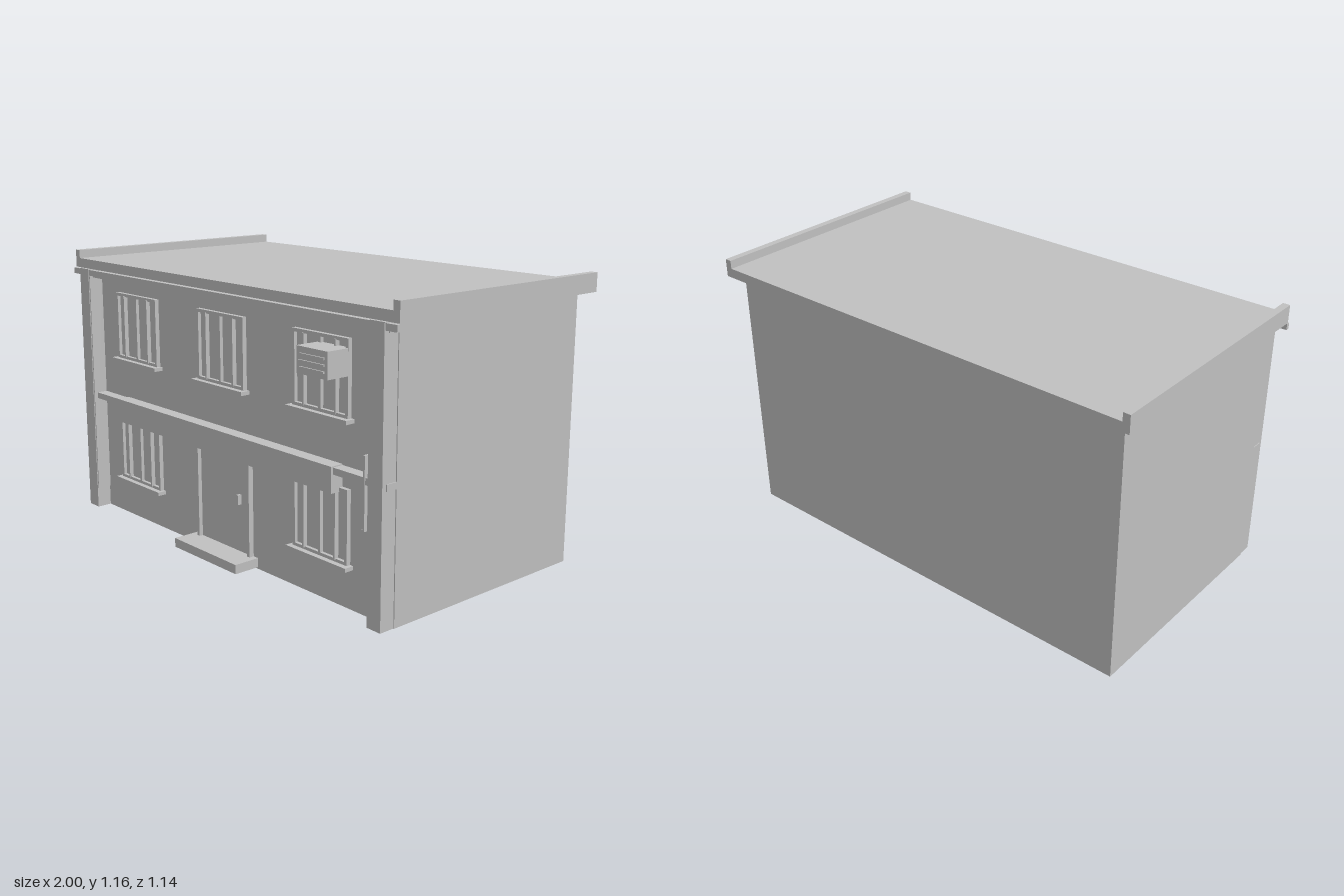
import * as THREE from 'three';

export function createModel() {
  const model = new THREE.Group();
  model.name = 'townhouse';
  const plaster = new THREE.MeshStandardMaterial({ color: 0xc0c0c0 });
  plaster.name = 'grey plaster';
  const WALL = 0.45; // front wall plane

  // Box given by its min and max corners
  function box(name, x0, x1, y0, y1, z0, z1, parent = model) {
    const mesh = new THREE.Mesh(new THREE.BoxGeometry(x1 - x0, y1 - y0, z1 - z0), plaster);
    mesh.position.set((x0 + x1) / 2, (y0 + y1) / 2, (z0 + z1) / 2);
    mesh.name = name;
    parent.add(mesh);
    return mesh;
  }

  // Walls and roof
  box('walls', -0.95, 0.95, 0, 1.09, -0.52, WALL);
  box('roofSlab', -1, 1, 1.09, 1.13, -0.57, 0.5);
  for (const s of [-1, 1]) {
    const side = s < 0 ? 'right' : 'left';
    const a = s * 0.97, b = s;
    box(side + 'Parapet', Math.min(a, b), Math.max(a, b), 1.13, 1.165, -0.57, 0.5);
    // Corner pilaster with a thin strip on its inner edge
    const p = s * 0.878, q = s * 0.946;
    box(side + 'Pilaster', Math.min(p, q), Math.max(p, q), 0, 1.09, WALL, 0.515);
    box(side + 'PilasterStrip', s * 0.876 - 0.003, s * 0.876 + 0.003, 0.09, 1.08, WALL, 0.512);
  }
  box('gutter', -1, 1, 1.062, 1.087, 0.495, 0.512);
  box('cornice', -0.95, 0.95, 1.053, 1.08, WALL, 0.495);
  box('floorLedge', -0.95, 0.95, 0.51, 0.536, WALL, 0.497);
  box('signBoard', -0.69, 0.683, 0.44, 0.54, WALL, 0.506);

  // Barred window, origin at the centre of the sill's underside
  function addWindow(name, x, y) {
    const g = new THREE.Group();
    g.name = name;
    g.position.set(x, y, WALL);
    const w = 0.148, t = 0.013, h = 0.3;
    box('sill', -0.163, 0.163, 0, 0.015, 0, 0.04, g);
    box('frameSideRight', -w, -w + t, 0.015, h, 0, 0.018, g);
    box('frameSideLeft', w - t, w, 0.015, h, 0, 0.018, g);
    box('frameTop', -w + t, w - t, h - t, h, 0, 0.018, g);
    box('frameBottom', -w + t, w - t, 0.015, 0.027, 0, 0.018, g);
    box('mullion', -0.006, 0.006, 0.027, h - t, 0, 0.018, g);
    box('pane', -w + t, w - t, 0.027, h - t, 0, 0.004, g);
    for (const bx of [-0.085, 0.085]) box('bar', bx - 0.004, bx + 0.004, 0.022, h - 0.01, 0.004, 0.022, g);
    model.add(g);
  }
  for (const x of [-0.588, -0.005, 0.578]) addWindow('upperWindow', x, 0.7);
  for (const x of [-0.588, 0.578]) addWindow('lowerWindow', x, 0.156);

  // Entrance
  box('doorStep', -0.204, 0.2, 0.007, 0.045, WALL, 0.563);
  box('door', -0.157, 0.157, 0.045, 0.44, WALL, 0.455);
  box('doorPostRight', -0.173, -0.157, 0.045, 0.44, WALL, 0.472);
  box('doorPostLeft', 0.157, 0.173, 0.045, 0.44, WALL, 0.472);
  box('doorHandle', 0.093, 0.105, 0.245, 0.285, 0.455, 0.472);

  // Air conditioner with grille slats
  box('airConditioner', 0.564, 0.725, 0.867, 0.966, WALL, 0.563);
  for (const y of [0.891, 0.915, 0.939]) box('grilleSlat', 0.58, 0.71, y - 0.004, y + 0.004, 0.563, 0.569);

  // Meter box and its conduit
  box('meterBox', 0.817, 0.865, 0.27, 0.34, WALL, 0.485);
  box('conduit', 0.837, 0.846, 0.34, 0.615, WALL, 0.5);
  return model;
}
